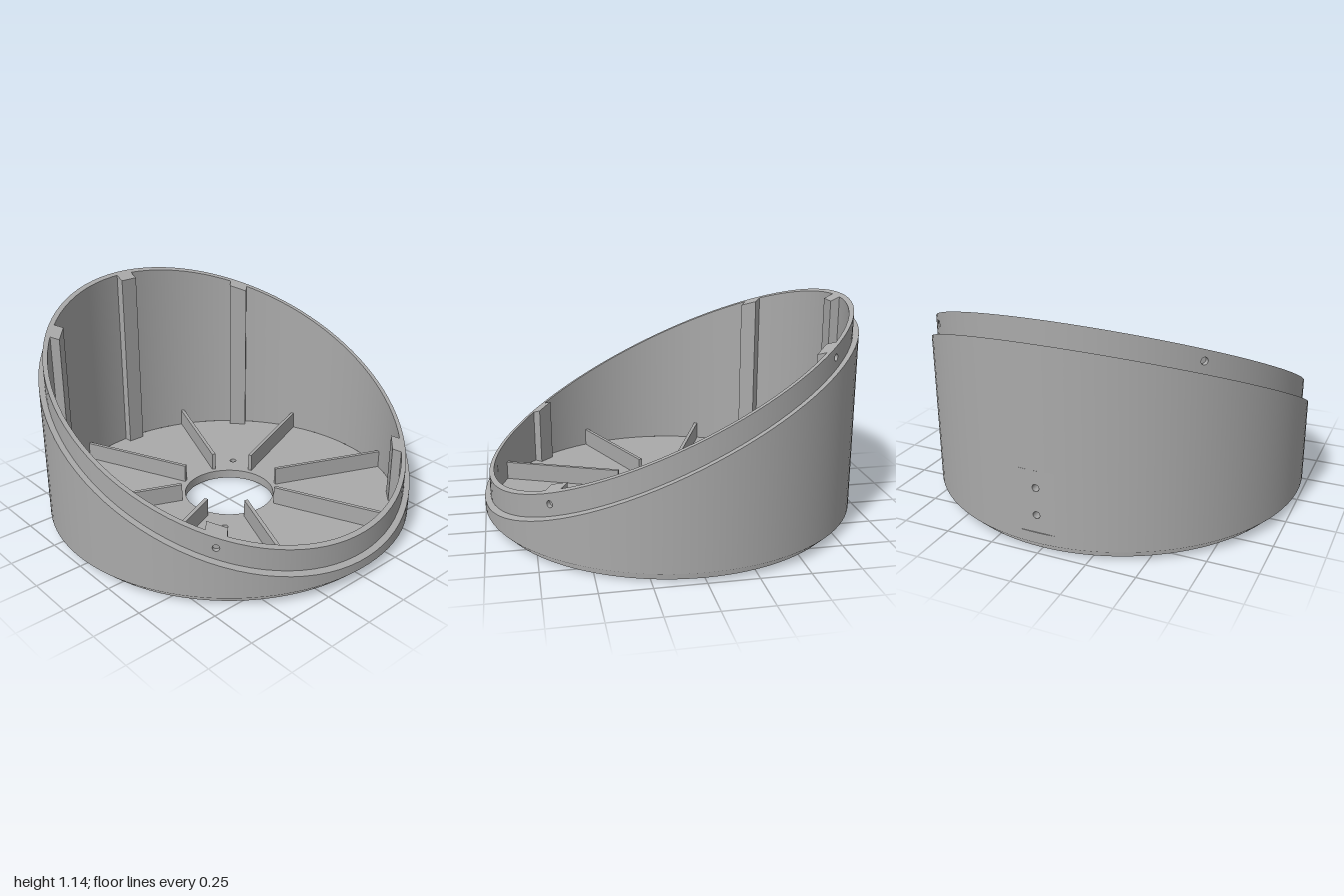
import * as THREE from 'three';
import { mergeGeometries } from 'three/addons/utils/BufferGeometryUtils.js';

const SEG = 96, STEP = (Math.PI * 2) / SEG;
const SLOPE = -0.466;
const WALL_TOP = 0.57, LIP_TOP = 0.687;   // height of the sloped cuts on the axis
const R = 1, R_LIP = 0.97, R_IN = 0.945, FLOOR = 0.05, CHAMFER = 0.055;
const BORE = 0.018;
const REC_LO = 0.11, REC_HI = 0.43;       // flat recess on the back

const slopeY = (base, z) => base + SLOPE * z;

export function createModel() {
  const group = new THREE.Group();
  const grey = new THREE.MeshStandardMaterial({ color: 0xaaaaaa, side: THREE.DoubleSide });
  grey.name = 'plain grey';

  const add = (name, geometry, parent = group) => {
    const mesh = new THREE.Mesh(geometry, grey);
    mesh.name = name;
    parent.add(mesh);
    return mesh;
  };

  const circleHole = (x, y, r) => new THREE.Path().absarc(x, y, r, 0, Math.PI * 2, true);

  // Revolved band between two rims; a rim with slope = true follows the tilted cut
  const band = (r0, y0, s0, r1, y1, s1) => {
    const g = new THREE.LatheGeometry(
      [new THREE.Vector2(r0, 0), new THREE.Vector2(r1, 1)], SEG, -STEP / 2);
    const p = g.attributes.position;
    for (let i = 0; i < p.count; i++) {
      const top = p.getY(i) > 0.5;
      const z = p.getZ(i);
      p.setY(i, (top ? s1 : s0) ? slopeY(top ? y1 : y0, z) : (top ? y1 : y0));
    }
    if (s0 && s1) g.computeVertexNormals();
    else if (r0 === r1) {
      const n = g.attributes.normal, sign = y1 > y0 ? 1 : -1;
      for (let i = 0; i < p.count; i++) n.setXYZ(i, sign * p.getX(i) / r0, 0, sign * p.getZ(i) / r0);
    }
    return g;
  };

  // One upright wall strip, drawn flat as (angle, height) and wrapped on radius r
  const strip = (r, k, lo, hi, holes = []) => {
    const a0 = (k - 0.5) * STEP, a1 = (k + 0.5) * STEP;
    const s = new THREE.Shape([
      new THREE.Vector2(a0, lo(a0)), new THREE.Vector2(a1, lo(a1)),
      new THREE.Vector2(a1, hi(a1)), new THREE.Vector2(a0, hi(a0))]);
    holes.forEach((y) => s.holes.push(circleHole(k * STEP, y, BORE)));
    const g = new THREE.ShapeGeometry(s, 10);
    const p = g.attributes.position, n = g.attributes.normal;
    for (let i = 0; i < p.count; i++) {
      const a = p.getX(i);
      p.setXYZ(i, r * Math.sin(a), p.getY(i), r * Math.cos(a));
      n.setXYZ(i, Math.sin(a), 0, Math.cos(a));
    }
    return g;
  };

  // Blind screw bore, sunk radially from the surface at radius r
  const bore = (name, r, a, y, depth) => {
    const g = new THREE.LatheGeometry([
      new THREE.Vector2(BORE, 0), new THREE.Vector2(BORE, -depth),
      new THREE.Vector2(BORE, -depth), new THREE.Vector2(0, -depth)], 16);
    g.rotateX(Math.PI / 2).translate(0, 0, r).rotateY(a).translate(0, y, 0);
    add(name, g);
  };

  // Floor plate with the central opening and four screw holes
  const floor = new THREE.Shape().absarc(0, 0, R_IN, 0, Math.PI * 2);
  floor.holes.push(circleHole(0, 0, 0.25));
  for (const x of [-0.265, 0.265])
    for (const z of [-0.265, 0.265]) floor.holes.push(circleHole(x, z, BORE));
  add('floor', new THREE.ExtrudeGeometry(floor, { depth: FLOOR, bevelEnabled: false, curveSegments: 48 })
    .rotateX(-Math.PI / 2));

  // Outer wall and raised lip, strip by strip
  const at = (base, r) => (a) => slopeY(base, r * Math.cos(a));
  const flat = (y) => () => y;
  const lipHoleY = (a) => slopeY(LIP_TOP, R_LIP * Math.cos(a)) - 0.055;
  const wall = [], lip = [];
  for (let k = 0; k < SEG; k++) {
    if (Math.abs(k - SEG / 2) <= 1) {
      wall.push(strip(R, k, flat(CHAMFER), flat(REC_LO)), strip(R, k, flat(REC_HI), at(WALL_TOP, R)));
    } else wall.push(strip(R, k, flat(CHAMFER), at(WALL_TOP, R)));
    const diagonal = k % (SEG / 4) === SEG / 8;
    lip.push(strip(R_LIP, k, at(WALL_TOP, R_LIP), at(LIP_TOP, R_LIP), diagonal ? [lipHoleY(k * STEP)] : []));
    if (diagonal) bore('lipScrewBore', R_LIP, k * STEP, lipHoleY(k * STEP), 0.022);
  }
  add('outerWall', mergeGeometries(wall));
  add('lipWall', mergeGeometries(lip));

  // Revolved rims and inner wall
  add('bottomChamfer', band(R_IN, 0, false, R, CHAMFER, false));
  add('ledge', band(R, WALL_TOP, true, R_LIP, WALL_TOP, true));
  add('lipRim', band(R_LIP, LIP_TOP, true, R_IN, LIP_TOP, true));
  add('innerWall', band(R_IN, LIP_TOP, true, R_IN, FLOOR, false).clone());

  // Flat recess on the back with two screw bores
  const half = 1.5 * STEP, flatR = R * Math.cos(half), w = R * Math.sin(half);
  const plate = new THREE.Shape([
    new THREE.Vector2(-w, REC_LO), new THREE.Vector2(w, REC_LO),
    new THREE.Vector2(w, REC_HI), new THREE.Vector2(-w, REC_HI)]);
  for (const y of [0.2, 0.34]) {
    plate.holes.push(circleHole(0, y, BORE));
    bore('backScrewBore', flatR, Math.PI, y, 0.045);
  }
  add('backRecess', new THREE.ShapeGeometry(plate).translate(0, 0, flatR).rotateY(Math.PI));
  for (const y of [REC_LO, REC_HI]) {
    const seg = new THREE.Shape().absarc(0, 0, R, Math.PI / 2 - half, Math.PI / 2 + half);
    add('recessEdge', new THREE.ShapeGeometry(seg, 3).rotateX(y === REC_LO ? -Math.PI / 2 : -Math.PI / 2)
      .translate(0, y, 0));
  }

  // Upright posts, trimmed by the tilted cut
  for (const deg of [45, 135, 180, 225, 315]) {
    const depth = 0.051;
    const g = new THREE.BoxGeometry(0.1, 1, depth).translate(0, 0, 0.946 - depth / 2)
      .rotateY(THREE.MathUtils.degToRad(deg));
    const p = g.attributes.position;
    for (let i = 0; i < p.count; i++)
      p.setY(i, p.getY(i) > 0 ? slopeY(LIP_TOP, p.getZ(i)) : FLOOR);
    const post = g.toNonIndexed();
    post.computeVertexNormals();
    add('post', post);
  }

  // Radial floor ribs
  for (let i = 0; i < 8; i++) {
    add('rib', new THREE.BoxGeometry(0.02, 0.1, 0.665)
      .translate(0, FLOOR + 0.05, 0.28 + 0.665 / 2).rotateY((i + 0.5) * Math.PI / 4));
  }
  return group;
}
